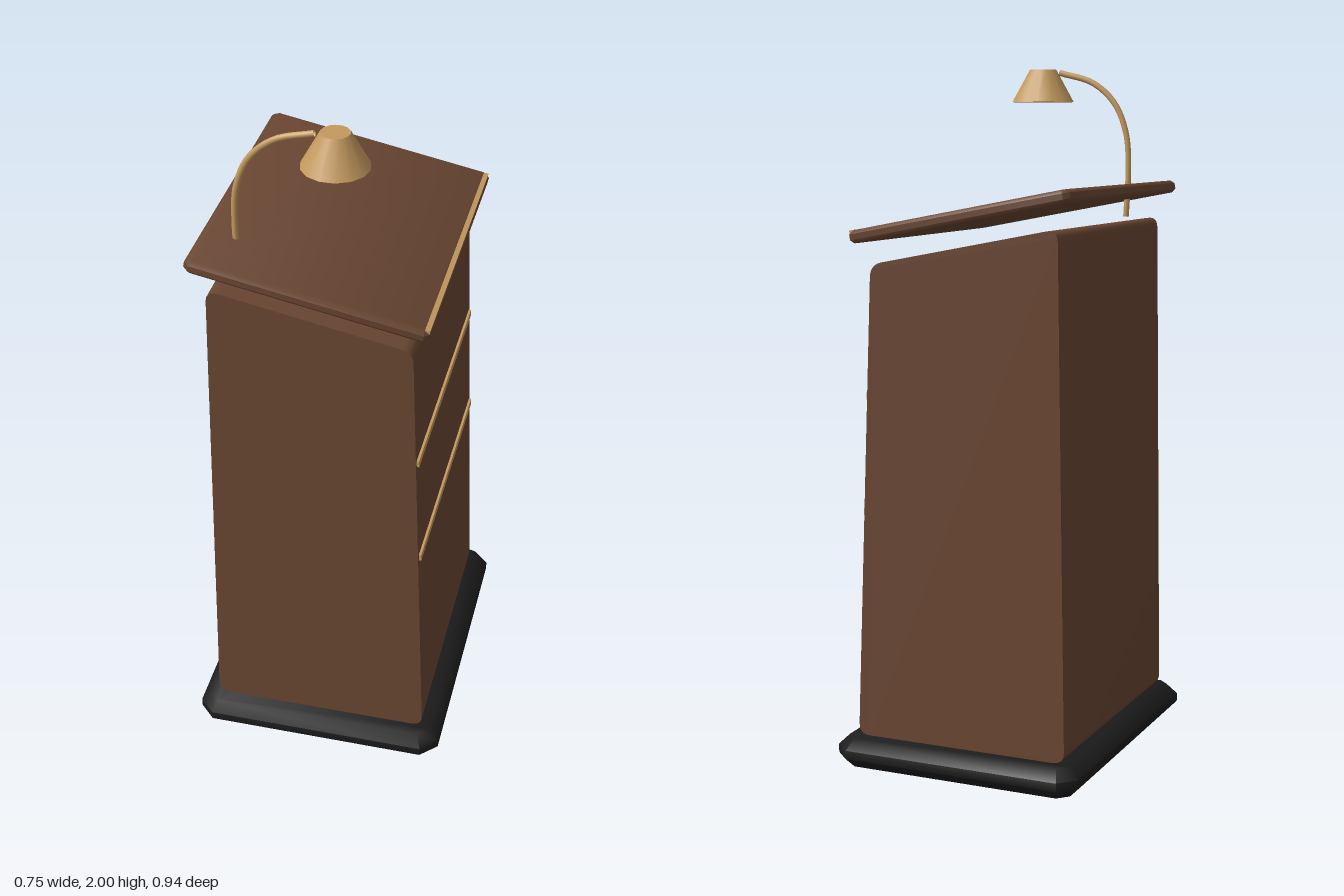
import * as THREE from 'three';
import { toCreasedNormals } from 'three/addons/utils/BufferGeometryUtils.js';

const wood = new THREE.MeshStandardMaterial({ color: 0x6a4632 });
const brass = new THREE.MeshStandardMaterial({ color: 0xc49a5e });
const black = new THREE.MeshStandardMaterial({ color: 0x1c1c1c });

function addMesh(parent, name, geometry, material, x = 0, y = 0, z = 0) {
  const mesh = new THREE.Mesh(geometry, material);
  mesh.name = name;
  mesh.position.set(x, y, z);
  parent.add(mesh);
  return mesh;
}

// Centred box whose edges and corners are all cut by the same chamfer
function chamferedBox(w, h, d, c) {
  const a = w / 2 - c, b = d / 2 - c;
  const shape = new THREE.Shape([
    [a, -b + c], [a, b - c], [a - c, b], [-a + c, b],
    [-a, b - c], [-a, -b + c], [-a + c, -b], [a - c, -b],
  ].map(([x, y]) => new THREE.Vector2(x, y)));
  const geometry = new THREE.ExtrudeGeometry(shape, {
    depth: h - 2 * c, bevelThickness: c, bevelSize: c, bevelSegments: 1,
  });
  geometry.translate(0, 0, -(h - 2 * c) / 2).rotateX(-Math.PI / 2);
  return toCreasedNormals(geometry, 0.9);
}

// Closed polygon with every corner rounded
function roundedPolygon(points, r) {
  const pts = points.map(([x, y]) => new THREE.Vector2(x, y));
  const shape = new THREE.Shape();
  pts.forEach((p, i) => {
    const prev = pts[(i + pts.length - 1) % pts.length];
    const next = pts[(i + 1) % pts.length];
    const start = p.clone().add(prev.clone().sub(p).setLength(r));
    const end = p.clone().add(next.clone().sub(p).setLength(r));
    if (i === 0) shape.moveTo(start.x, start.y);
    else shape.lineTo(start.x, start.y);
    shape.quadraticCurveTo(p.x, p.y, end.x, end.y);
  });
  shape.closePath();
  return shape;
}

export function createModel() {
  const model = new THREE.Group();
  model.name = 'lectern';

  // Plinth
  addMesh(model, 'base', chamferedBox(0.75, 0.085, 0.94, 0.03), black, 0, 0.0425, 0);

  // Tapered body with a sloping top
  const profile = roundedPolygon([[-0.323, 0.085], [0.32, 0.085], [0.265, 1.452], [-0.298, 1.562]], 0.035);
  const body = new THREE.ExtrudeGeometry(profile, { depth: 0.8, bevelEnabled: false, curveSegments: 5 });
  body.translate(0, 0, -0.4);
  addMesh(model, 'body', toCreasedNormals(body, 0.7), wood);

  // Brass bands across the leaning face
  for (const y of [0.745, 1.08]) {
    const x = 0.32 - (y - 0.085) * 0.0402;
    const band = addMesh(model, 'trimBand', new THREE.BoxGeometry(0.014, 0.02, 0.78), brass, x, y, 0);
    band.rotation.z = 0.04;
  }

  // Tilted reading desk with a brass book stop along its low edge
  const desk = new THREE.Group();
  desk.name = 'readingDesk';
  desk.position.set(-0.015, 1.59, 0);
  desk.rotation.z = -0.19;
  model.add(desk);
  addMesh(desk, 'deskTop', chamferedBox(0.67, 0.036, 0.885, 0.01), wood);
  addMesh(desk, 'bookStop', new THREE.BoxGeometry(0.014, 0.016, 0.86), brass, 0.324, 0.011, 0);

  // Curved-arm reading lamp
  const lamp = new THREE.Group();
  lamp.name = 'lamp';
  lamp.position.z = 0.267;
  model.add(lamp);
  const path = new THREE.CatmullRomCurve3([
    [-0.245, 1.565], [-0.251, 1.7], [-0.243, 1.81], [-0.205, 1.9], [-0.135, 1.96], [-0.03, 1.99],
  ].map(([x, y]) => new THREE.Vector3(x, y, 0)));
  const arm = addMesh(lamp, 'lampArm', new THREE.TubeGeometry(path, 28, 0.009, 8), brass);
  arm.material = brass.clone();
  arm.material.side = THREE.DoubleSide;
  const shade = new THREE.CylinderGeometry(0.04, 0.093, 0.096, 14);
  shade.rotateY(Math.PI / 14);
  addMesh(lamp, 'lampShade', shade, brass, 0.025, 1.952, 0);

  return model;
}
